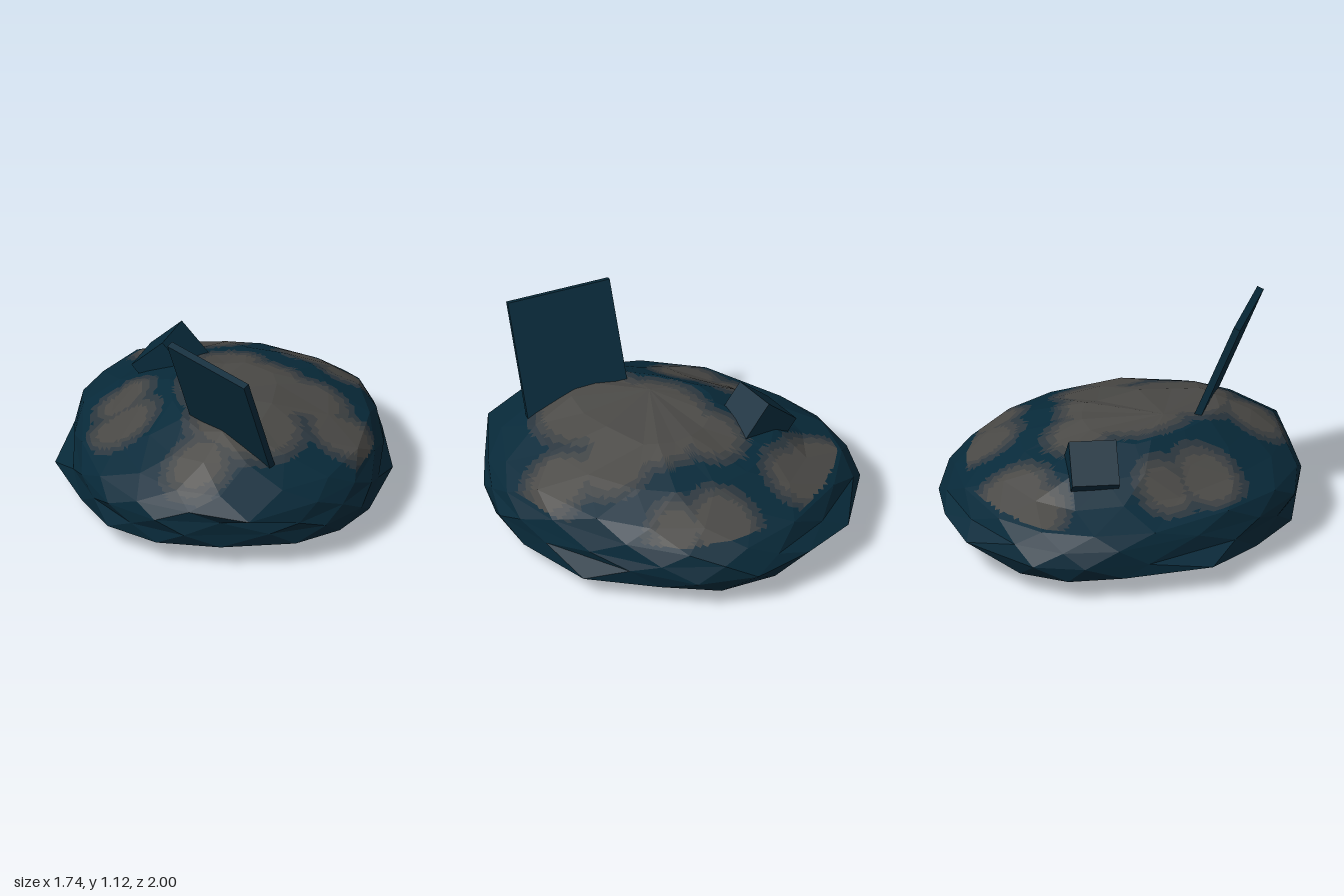
import * as THREE from 'three';

const SIDES = 16;
// Rock cross-sections: height, reach to +x, -x, +z, -z,
// and corner roundness (lower is boxier) on the long and the short diagonal
const RINGS = [
  [0.035, 0.40, 0.40, 0.48, 0.46, 0.85, 0.92],
  [0.08, 0.58, 0.58, 0.76, 0.74, 0.8, 0.92],
  [0.11, 0.80, 0.79, 0.89, 0.88, 0.76, 0.9],
  [0.20, 0.82, 0.78, 0.90, 0.95, 0.72, 0.87],
  [0.27, 0.82, 0.78, 0.91, 0.92, 0.74, 0.88],
  [0.34, 0.80, 0.74, 0.92, 0.87, 0.8, 0.92],
  [0.42, 0.74, 0.58, 0.88, 0.72, 0.87, 0.97],
  [0.51, 0.55, 0.45, 0.72, 0.54, 0.88, 0.98],
  [0.60, 0.27, 0.28, 0.55, 0.20, 0.9, 1],
];
// Points that stick out of the rim, keyed ring:side
const TIPS = {
  '2:0': [0.87, 0.11, 0.01], '2:8': [-0.87, 0.13, 0.03],
  '5:3': [0.15, 0.33, 0.995], '3:11': [-0.11, 0.2, -1],
};
// Bare grey patches seen from above: x, z, radius
const PATCHES = [
  [0.12, 0.08, 0.3], [0.12, 0.4, 0.25], [0.02, -0.25, 0.13], [0.45, 0.08, 0.15],
  [-0.3, -0.75, 0.16], [-0.1, -0.72, 0.14], [-0.52, 0.2, 0.13], [-0.52, -0.05, 0.1],
  [0.45, -0.58, 0.14], [0.62, -0.4, 0.1], [0.62, 0.3, 0.14], [-0.12, 0.7, 0.12],
];

// Tones from dark rock to bare grey
const tealColor = new THREE.Color(0x082a3a);
const greyColor = new THREE.Color(0x4a4946);
const TONES = [0, 0.33, 0.67, 1].map((t) => new THREE.MeshStandardMaterial({
  color: tealColor.clone().lerp(greyColor, t), flatShading: true,
}));

function seeded(seed) {
  return () => {
    seed = (seed * 16807) % 2147483647;
    return (seed / 2147483647) * 2 - 1;
  };
}

function ringPoints([y, right, left, front, back, long, short], i, rand) {
  return Array.from({ length: SIDES }, (_, j) => {
    const tip = TIPS[`${i}:${j}`];
    if (tip) return new THREE.Vector3(...tip);
    const a = ((j + (i % 2) / 2) / SIDES) * Math.PI * 2;
    const c = Math.cos(a), s = Math.sin(a);
    const soft = (v) => Math.sign(v) * Math.abs(v) ** (c * s > 0 ? long : short);
    const k = 1 + 0.015 * rand();
    return new THREE.Vector3(
      soft(c) * (c > 0 ? right : left) * k,
      y + 0.014 * rand(),
      soft(s) * (s > 0 ? front : back) * k,
    );
  });
}

// Tone index of a surface point: fades out around each patch
function toneAt(p) {
  const depth = Math.max(...PATCHES.map(([x, z, r]) => r - Math.hypot(p.x - x, p.z - z)));
  return p.y < 0.36 ? 0 : THREE.MathUtils.clamp(Math.floor(depth / 0.04) + 3, 0, 3);
}

// Faceted mound, each facet split finely enough to carry the patches
function createRock() {
  const rand = seeded(4217);
  const rings = RINGS.map((r, i) => ringPoints(r, i, rand));
  const points = TONES.map(() => []);
  const tri = (a, b, c, splits = 3) => {
    if (splits === 0 || Math.max(a.y, b.y, c.y) < 0.36) {
      const mid = a.clone().add(b).add(c).divideScalar(3);
      points[toneAt(mid)].push(a, b, c);
      return;
    }
    const ab = a.clone().lerp(b, 0.5), bc = b.clone().lerp(c, 0.5), ca = c.clone().lerp(a, 0.5);
    tri(a, ab, ca, splits - 1);
    tri(ab, b, bc, splits - 1);
    tri(ca, bc, c, splits - 1);
    tri(ab, bc, ca, splits - 1);
  };
  const bottom = new THREE.Vector3(0.03, 0, 0);
  const top = new THREE.Vector3(-0.1, 0.635, 0.18);
  const last = rings[rings.length - 1];
  for (let j = 0; j < SIDES; j++) {
    const n = (j + 1) % SIDES;
    tri(bottom, rings[0][j], rings[0][n]);
    for (let i = 0; i < rings.length - 1; i++) {
      const a = rings[i], b = rings[i + 1];
      if (i % 2 === 0) {
        tri(a[j], b[j], a[n]);
        tri(a[n], b[j], b[n]);
      } else {
        tri(a[j], b[j], b[n]);
        tri(a[j], b[n], a[n]);
      }
    }
    tri(top, last[n], last[j]);
  }
  const rock = new THREE.Group();
  rock.name = 'rock';
  const names = ['darkRock', 'patchOuterEdge', 'patchInnerEdge', 'barePatches'];
  points.forEach((list, t) => {
    const geometry = new THREE.BufferGeometry().setFromPoints(list);
    geometry.computeVertexNormals();
    const mesh = new THREE.Mesh(geometry, TONES[t]);
    mesh.name = names[t];
    rock.add(mesh);
  });
  return rock;
}

// Box centred at a point, with two edge directions and its size along each axis
function tiltedBox(name, center, u, v, size) {
  const x = new THREE.Vector3(...u).normalize();
  const z = new THREE.Vector3().crossVectors(x, new THREE.Vector3(...v)).normalize();
  const y = new THREE.Vector3().crossVectors(z, x);
  const mesh = new THREE.Mesh(new THREE.BoxGeometry(...size), TONES[0]);
  mesh.name = name;
  mesh.quaternion.setFromRotationMatrix(new THREE.Matrix4().makeBasis(x, y, z));
  mesh.position.set(...center);
  return mesh;
}

export function createModel() {
  const model = new THREE.Group();
  model.name = 'wreckMound';
  model.add(createRock());
  // Leaning plank, its foot sunk into the rock
  model.add(tiltedBox('plank', [0.003, 0.78, 0.6], [0.41, -0.035, 0.38], [-0.12, 0.575, 0.2], [0.55, 0.68, 0.037]));
  // Half-buried crate standing on an edge
  model.add(tiltedBox('crate', [-0.28, 0.525, -0.35], [-0.16, -0.17, -0.07], [0.15, -0.166, 0.06], [0.245, 0.235, 0.247]));
  return model;
}
